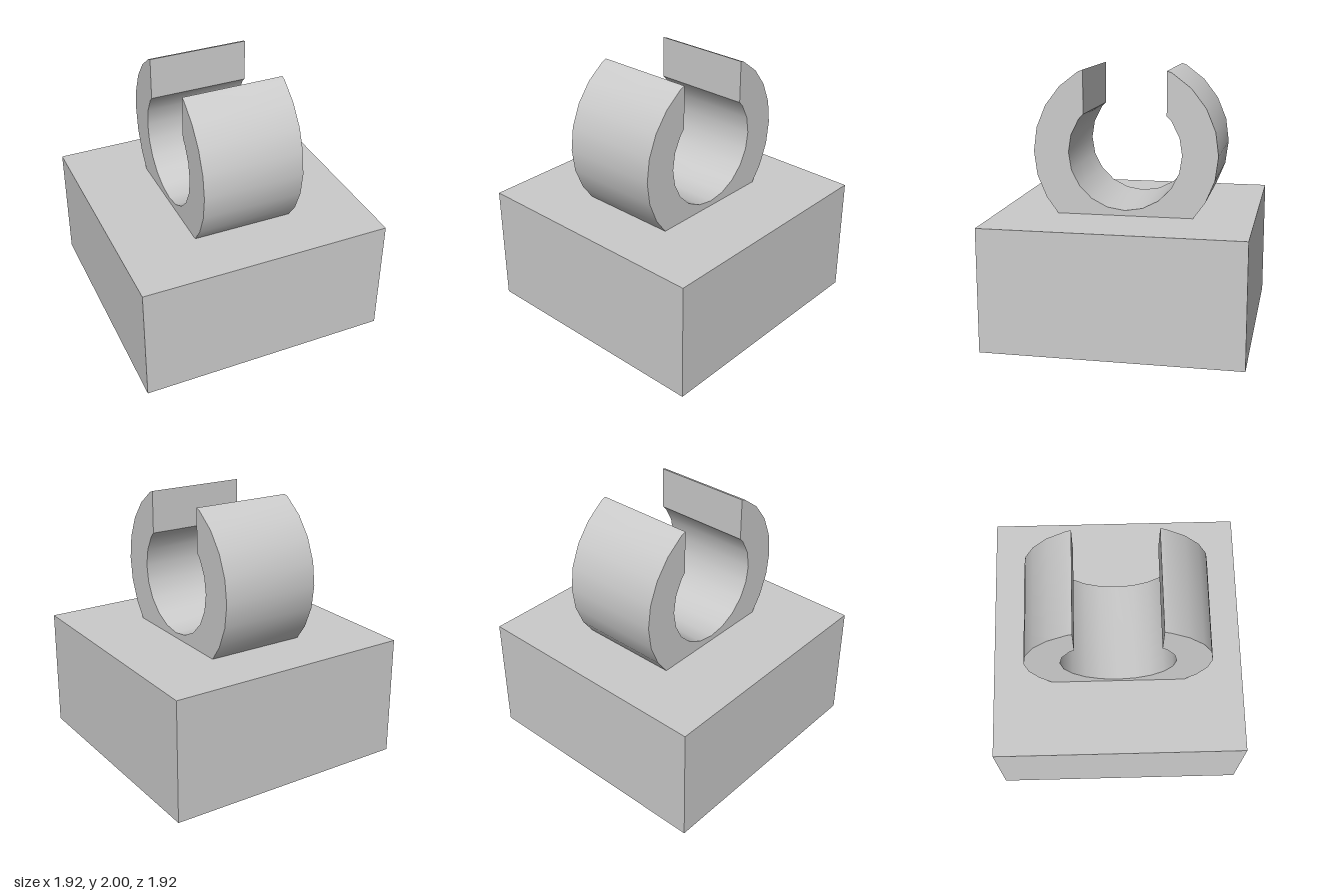
import * as THREE from 'three';
import { toCreasedNormals } from 'three/addons/utils/BufferGeometryUtils.js';

const BASE_SIZE = 1.92, BASE_TOP = 0.925;
const RING_Y = 1.39, OUTER_R = 0.69, INNER_R = 0.425, RING_WIDTH = 0.77;
const HALF_GAP = 0.31;

// Points of a regular polygon arc, on the +x side, from one step number to another
function arc(radius, sides, from, to) {
  const points = [];
  for (let i = from; i <= to; i++) {
    const a = (i / sides) * Math.PI * 2;
    points.push(new THREE.Vector2(Math.cos(a) * radius, RING_Y + Math.sin(a) * radius));
  }
  return points;
}

// Half of the C profile: outer arc up, across the gap face, inner arc down
function halfProfile() {
  return [
    new THREE.Vector2(0.51, BASE_TOP),
    ...arc(OUTER_R, 24, -2, 4),
    new THREE.Vector2(HALF_GAP, 2),
    new THREE.Vector2(HALF_GAP, 1.675),
    ...arc(INNER_R, 20, -5, 2).reverse(),
  ];
}

export function createModel() {
  const model = new THREE.Group();
  model.name = 'clipOnBlock';
  const material = new THREE.MeshStandardMaterial({ color: 0xcccccc });

  // Block
  const block = new THREE.Mesh(new THREE.BoxGeometry(BASE_SIZE, BASE_TOP, BASE_SIZE), material);
  block.name = 'baseBlock';
  block.position.y = BASE_TOP / 2;
  model.add(block);

  // Open ring, mirrored about its middle, flat where it meets the block
  const half = halfProfile();
  const mirrored = half.slice(0, -1).reverse().map((p) => new THREE.Vector2(-p.x, p.y));
  const geometry = new THREE.ExtrudeGeometry(new THREE.Shape([...half, ...mirrored]), {
    depth: RING_WIDTH,
    bevelEnabled: false,
  });
  geometry.translate(0, 0, -RING_WIDTH / 2);
  geometry.rotateY(Math.PI / 2);
  const ring = new THREE.Mesh(toCreasedNormals(geometry, Math.PI / 6), material);
  ring.name = 'openRing';
  model.add(ring);

  return model;
}
